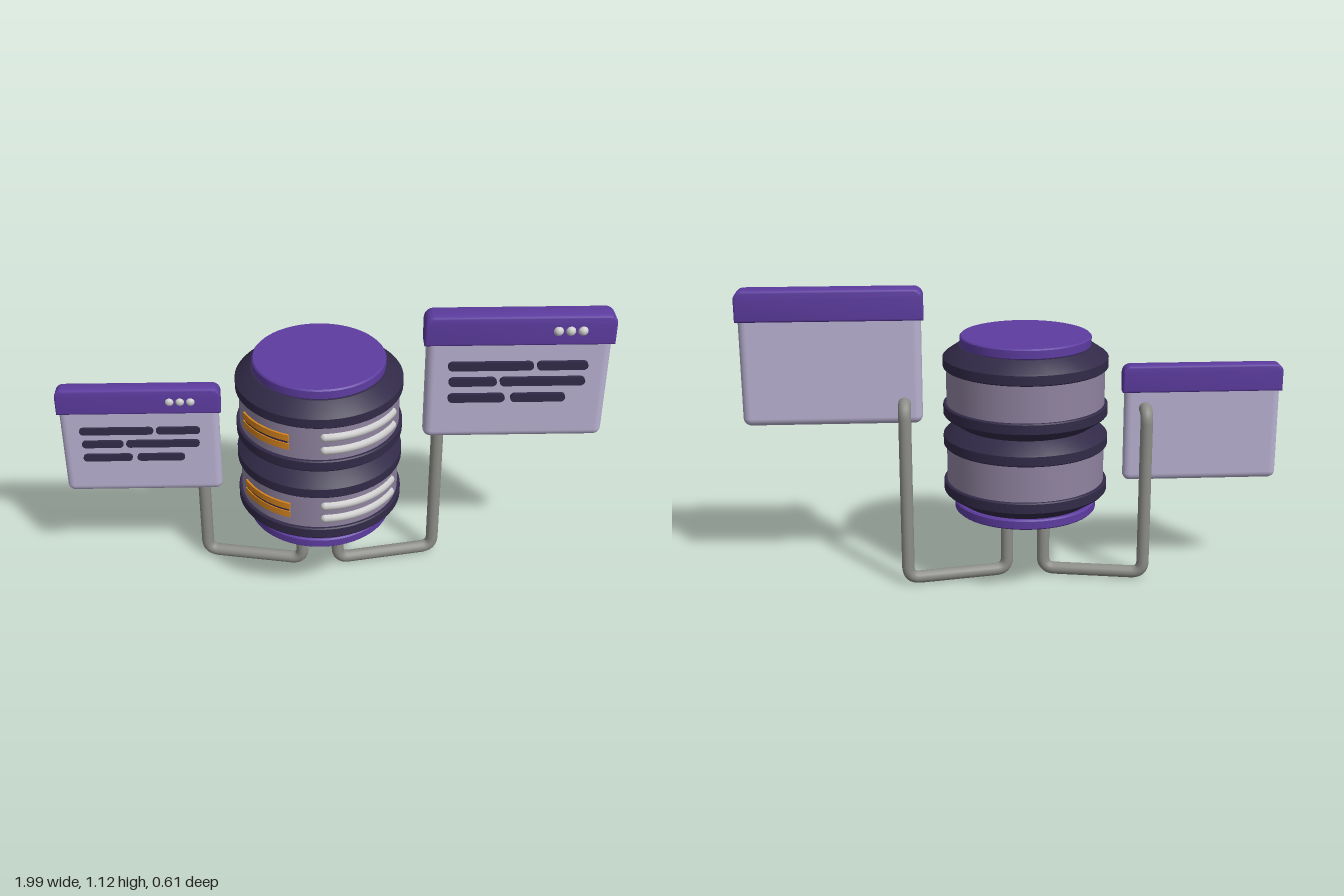
import * as THREE from 'three';
import { toCreasedNormals } from 'three/addons/utils/BufferGeometryUtils.js';
import { RoundedBoxGeometry } from 'three/addons/geometries/RoundedBoxGeometry.js';

const mat = (color) => new THREE.MeshStandardMaterial({ color });
const purple = mat(0x5d3ca0), dark = mat(0x322a48), band = mat(0x8f839f), panelGrey = mat(0xb8b0d0);
const orange = mat(0xd9851e), steel = mat(0x8c8c88), light = mat(0xcccccc);

function add(parent, name, geometry, material, x = 0, y = 0, z = 0) {
  const m = new THREE.Mesh(geometry, material);
  m.name = name;
  m.position.set(x, y, z);
  parent.add(m);
  return m;
}

const lathe = (pts) =>
  toCreasedNormals(new THREE.LatheGeometry(pts.map(([r, y]) => new THREE.Vector2(r, y)), 64), 0.5);

// Disc with softened rims
function disc(r, y0, y1) {
  const b = 0.005;
  return lathe([[0, y0], [r - b, y0], [r, y0 + b], [r, y1 - b], [r - b, y1], [0, y1]]);
}

// Box wrapped round the drum, angles in degrees from the front
function wrappedBox(a0, a1, h, r0, r1) {
  const g = new THREE.BoxGeometry(1, h, 1, 20, 1, 1);
  const p = g.attributes.position;
  for (let i = 0; i < p.count; i++) {
    const a = THREE.MathUtils.degToRad(a0 + (p.getX(i) + 0.5) * (a1 - a0));
    const r = r0 + (p.getZ(i) + 0.5) * (r1 - r0);
    p.setXYZ(i, Math.sin(a) * r, p.getY(i), Math.cos(a) * r);
  }
  return toCreasedNormals(g, 0.6);
}

// Round-ended bar following the drum wall
function addBar(parent, y) {
  const r = 0.286, t = 0.0175, pts = [];
  for (let i = 0; i <= 12; i++) {
    const a = THREE.MathUtils.degToRad(3 + i * 5);
    pts.push(new THREE.Vector3(Math.sin(a) * r, y, Math.cos(a) * r));
  }
  add(parent, 'lightBar', new THREE.TubeGeometry(new THREE.CatmullRomCurve3(pts), 32, t, 12), light);
  for (const p of [pts[0], pts[12]])
    add(parent, 'lightBarEnd', new THREE.SphereGeometry(t, 16, 10), light, p.x, p.y, p.z);
}

// One storey of the drum, 0.29 tall
function createUnit(y) {
  const unit = new THREE.Group();
  unit.name = 'drumUnit';
  unit.position.y = y;
  const b = 0.004;
  const rim = [[0, 0], [0.245, 0], [0.298, 0.036], [0.303, 0.042], [0.303, 0.08 - b], [0.303 - b, 0.08], [0, 0.08]];
  add(unit, 'lowerRim', lathe(rim), dark);
  add(unit, 'upperRim', lathe(rim.map(([r, h]) => [r, 0.295 - h]).reverse()), dark);
  add(unit, 'drumWall', new THREE.CylinderGeometry(0.291, 0.291, 0.17, 64, 1, true), band, 0, 0.147, 0);
  for (const h of [0.118, 0.172]) addBar(unit, h);
  // Orange vent: two strips with a dark slot between
  for (const h of [0.127, 0.162])
    add(unit, 'ventStrip', wrappedBox(-66, -22, 0.025, 0.27, 0.298), orange, 0, h, 0);
  add(unit, 'ventSlot', wrappedBox(-65, -23, 0.012, 0.27, 0.294), dark, 0, 0.1445, 0);
  return unit;
}

// Bar with half-round ends, standing off the panel
function pill(w, h, d) {
  const r = h / 2, s = new THREE.Shape();
  s.absarc(w / 2 - r, 0, r, -Math.PI / 2, Math.PI / 2, false);
  s.absarc(-w / 2 + r, 0, r, Math.PI / 2, Math.PI * 1.5, false);
  return new THREE.ExtrudeGeometry(s, { depth: d, bevelEnabled: false, curveSegments: 8 });
}

// Title bar: rounded top corners, square bottom
function headerGeometry(w, h, d) {
  const b = 0.01, x = w / 2 - b, y = h / 2 - b, r = 0.025, s = new THREE.Shape();
  s.moveTo(-x, -y);
  s.lineTo(x, -y);
  s.absarc(x - r, y - r, r, 0, Math.PI / 2, false);
  s.absarc(-x + r, y - r, r, Math.PI / 2, Math.PI, false);
  const g = new THREE.ExtrudeGeometry(s, {
    depth: d - 2 * b, bevelSize: b, bevelThickness: b, bevelSegments: 3, curveSegments: 8,
  });
  g.translate(0, 0, b - d / 2);
  return toCreasedNormals(g, 0.7);
}

// Window-like panel, origin at its centre
function createPanel(name) {
  const panel = new THREE.Group();
  panel.name = name;
  add(panel, 'panelBody', new RoundedBoxGeometry(0.655, 0.45, 0.066, 4, 0.03), panelGrey, 0, -0.0275, 0);
  add(panel, 'panelHeader', headerGeometry(0.673, 0.116, 0.084), purple, 0, 0.195, 0);
  for (const x of [0.13, 0.173, 0.216])
    add(panel, 'headerDot', new THREE.SphereGeometry(0.018, 20, 14), light, x, 0.195, 0.039);
  const rows = [
    [0.056, -0.25, 0.055, 0.066, 0.248],
    [-0.008, -0.245, -0.073, -0.062, 0.243],
    [-0.075, -0.245, -0.04, -0.02, 0.178],
  ];
  for (const [y, a, b, c, d] of rows)
    for (const [l, r] of [[a, b], [c, d]])
      add(panel, 'textLine', pill(r - l, 0.033, 0.025), dark, (l + r) / 2, y, 0.021);
  return panel;
}

// Pipe through corner points, each corner rounded off
function pipe(points, radius, bend) {
  const v = points.map((p) => new THREE.Vector3(...p));
  const path = new THREE.CurvePath();
  let from = v[0];
  for (let i = 1; i < v.length - 1; i++) {
    const toward = (q) => v[i].clone().add(q.clone().sub(v[i]).setLength(bend));
    const start = toward(v[i - 1]), end = toward(v[i + 1]);
    path.add(new THREE.LineCurve3(from, start));
    path.add(new THREE.QuadraticBezierCurve3(start, v[i], end));
    from = end;
  }
  path.add(new THREE.LineCurve3(from, v[v.length - 1]));
  return new THREE.TubeGeometry(path, 160, radius, 16);
}

export function createModel() {
  const model = new THREE.Group();
  model.name = 'serverDrumWithPanels';

  // Drum
  const drum = new THREE.Group();
  drum.name = 'drum';
  drum.position.x = -0.047;
  model.add(drum);
  add(drum, 'baseDisc', disc(0.263, 0.281, 0.318), purple);
  add(drum, 'topDisc', disc(0.24, 0.903, 0.942), purple);
  for (const y of [0.317, 0.61]) drum.add(createUnit(y));

  // Panels
  const left = createPanel('leftPanel');
  left.position.set(0.6585, 0.864, 0.014);
  const right = createPanel('rightPanel');
  right.position.set(-0.7025, 0.599, -0.001);
  right.scale.set(0.884, 0.88, 0.7);
  model.add(left, right);

  // Pipes from the drum's underside to the backs of the panels
  const routes = [['leftPipe', 0.022, 0.397, 0.692], ['rightPipe', -0.116, -0.489, 0.66]];
  for (const [name, x0, x1, top] of routes)
    add(model, name, pipe([
      [x0, 0.3, 0], [x0, 0.025, 0], [x1, 0.025, -0.07], [x1, top, -0.07], [x1, top, 0],
    ], 0.0235, 0.045), steel);

  return model;
}
